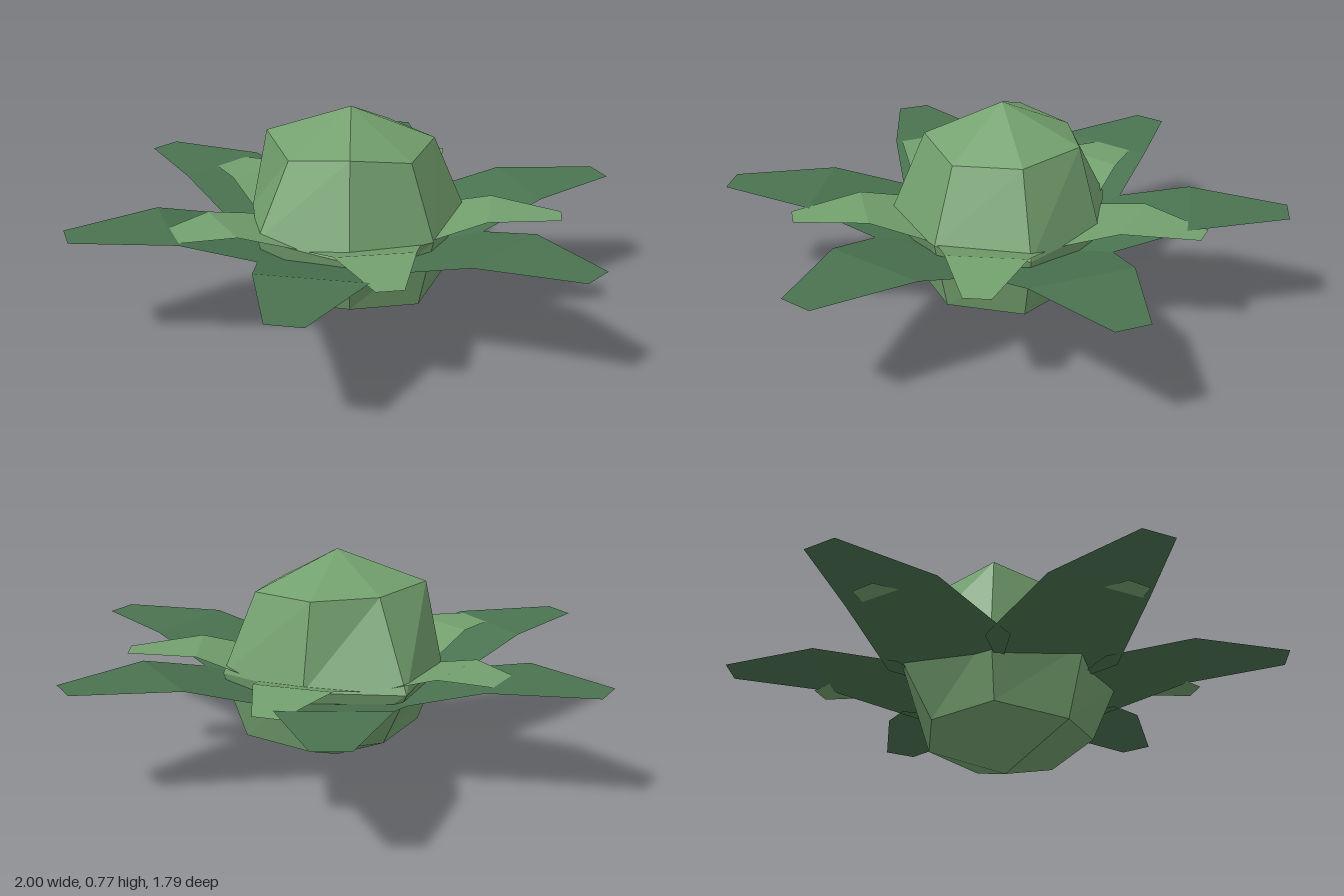
import * as THREE from 'three';

const leafGreen = new THREE.MeshStandardMaterial({ color: 0x4a7350, flatShading: true, side: THREE.DoubleSide });
leafGreen.name = 'dark leaf green';
const headGreen = new THREE.MeshStandardMaterial({ color: 0x73a06e, flatShading: true, side: THREE.DoubleSide });
headGreen.name = 'light cabbage green';

// Faceted surface joining rows of points, each row holding the same count
function loft(rows, closed) {
  const n = rows[0].length;
  const index = [];
  for (let r = 0; r < rows.length - 1; r++) {
    for (let i = 0; i < (closed ? n : n - 1); i++) {
      const j = (i + 1) % n;
      const a = r * n + i, b = r * n + j, c = a + n, d = b + n;
      index.push(a, c, b, b, c, d);
    }
  }
  const geometry = new THREE.BufferGeometry();
  geometry.setAttribute('position', new THREE.Float32BufferAttribute(rows.flat(2), 3));
  geometry.setIndex(index);
  const flat = geometry.toNonIndexed();
  flat.computeVertexNormals();
  return flat;
}

// Leaf pointing along +x; each section is [distance out, half width, height]
const leafGeometry = (sections) =>
  loft(sections.map(([x, w, y]) => [[x, y, -w], [x, y, w]]), false);

// Evenly spaced ring of leaves
function leafRing(name, sections, count, startDegrees, material) {
  const ring = new THREE.Group();
  ring.name = name;
  const geometry = leafGeometry(sections);
  for (let i = 0; i < count; i++) {
    const leaf = new THREE.Mesh(geometry, material);
    leaf.name = name + 'Leaf' + (i + 1);
    leaf.rotation.y = -THREE.MathUtils.degToRad(startDegrees + (i * 360) / count);
    ring.add(leaf);
  }
  return ring;
}

export function createModel() {
  const cabbage = new THREE.Group();
  cabbage.name = 'cabbage';

  // Large spreading leaves
  cabbage.add(leafRing('outer',
    [[0.2, 0.1, 0.28], [0.35, 0.25, 0.33], [0.66, 0.185, 0.42], [1, 0.06, 0.425]],
    6, 0, leafGreen));

  // Shorter leaves tucked between them
  cabbage.add(leafRing('inner',
    [[0.2, 0.12, 0.33], [0.3, 0.19, 0.37], [0.49, 0.135, 0.428], [0.74, 0.045, 0.415]],
    5, 40, headGreen));

  // Seven-sided, slightly uneven head: radius and height per corner
  const angles = [0, 50, 104, 154, 206, 257, 309];
  const ring = (radii, heights) => angles.map((deg, i) => {
    const a = THREE.MathUtils.degToRad(deg);
    return [radii[i] * Math.cos(a), heights[i], radii[i] * Math.sin(a)];
  });
  const tip = (y) => angles.map(() => [0, y, 0]);
  const rows = [
    tip(0.01),
    ring([0.31, 0.31, 0.31, 0.29, 0.29, 0.29, 0.34], [0.12, 0.15, 0.12, 0.16, 0.15, 0.13, 0.13]),
    ring([0.37, 0.4, 0.39, 0.37, 0.42, 0.37, 0.42], [0.37, 0.36, 0.37, 0.38, 0.36, 0.37, 0.37]),
    ring([0.27, 0.27, 0.26, 0.31, 0.26, 0.29, 0.3], [0.63, 0.67, 0.63, 0.67, 0.66, 0.66, 0.65]),
    tip(0.78),
  ];
  const head = new THREE.Mesh(loft(rows, true), headGreen);
  head.name = 'head';
  cabbage.add(head);

  return cabbage;
}
